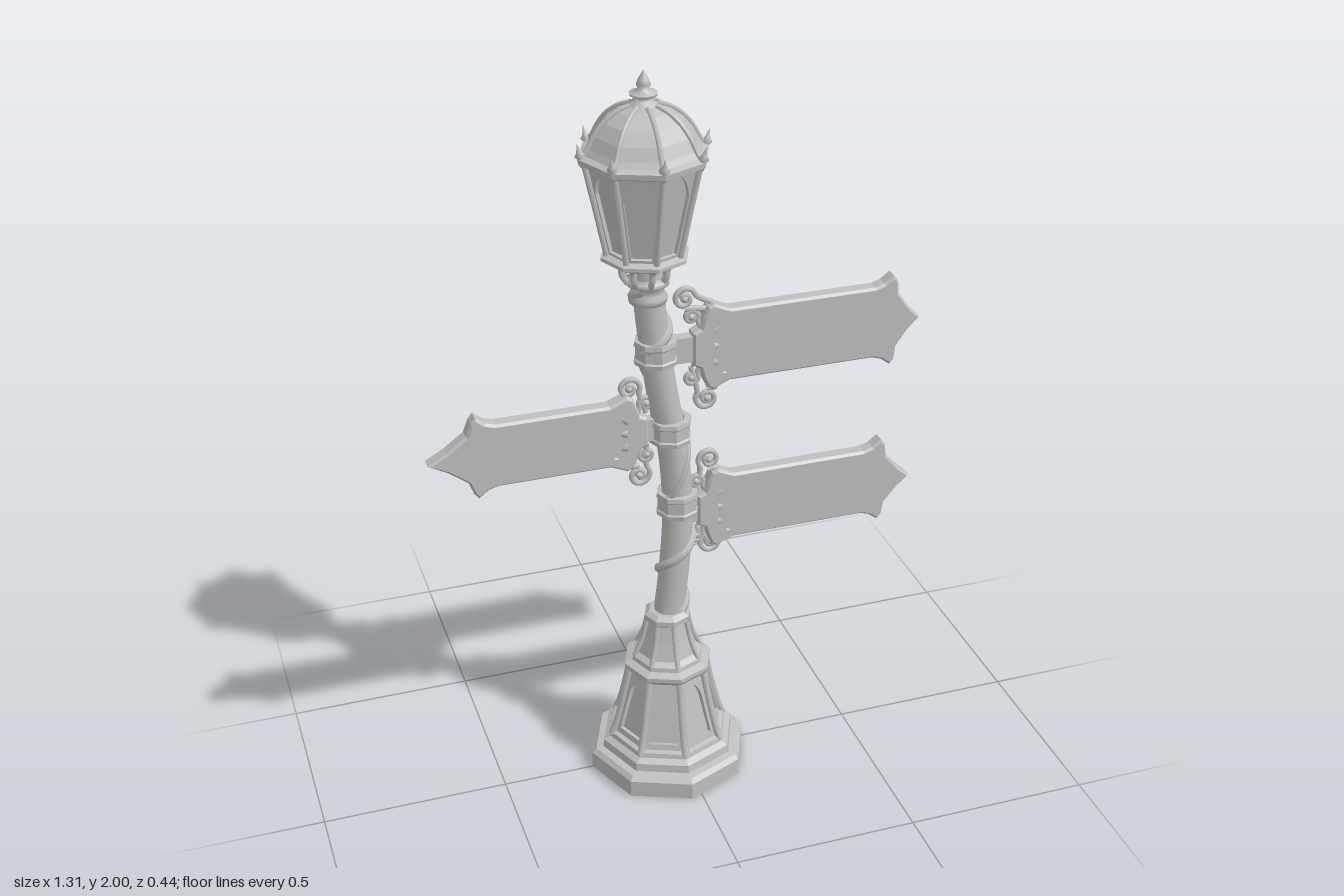
import * as THREE from 'three';

const stone = new THREE.MeshStandardMaterial({ color: 0xbfbfbf, side: THREE.DoubleSide });
stone.name = 'pale grey';

const V = (x, y, z = 0) => new THREE.Vector3(x, y, z);
const add = (parent, name, geo, x = 0, y = 0, z = 0) => {
  const m = new THREE.Mesh(geo, stone);
  m.name = name;
  m.position.set(x, y, z);
  parent.add(m);
  return m;
};
const group = (parent, name, x = 0, y = 0, z = 0) => {
  const g = new THREE.Group();
  g.name = name;
  g.position.set(x, y, z);
  parent.add(g);
  return g;
};
const flat = (geo) => {
  const g = geo.index ? geo.toNonIndexed() : geo;
  g.computeVertexNormals();
  return g;
};
const lathe = (pts, n) => new THREE.LatheGeometry(pts.map(([r, y]) => new THREE.Vector2(r, y)), n);
const octagon = (pts) => flat(lathe(pts, 8));
const tube = (pts, r, seg = 32, sides = 6) =>
  new THREE.TubeGeometry(new THREE.CatmullRomCurve3(pts), seg, r, sides);

// Pointed-arch frames standing on the eight faces of a tapered octagon
function archedFaces(parent, name, r0, y0, r1, y1, margin, depth) {
  const c = Math.cos(Math.PI / 8), s = Math.sin(Math.PI / 8);
  const h = Math.hypot(y1 - y0, (r1 - r0) * c);
  const w0 = r0 * s, w1 = r1 * s;
  const shape = new THREE.Shape();
  shape.moveTo(-w0, 0).lineTo(w0, 0).lineTo(w1, h).lineTo(-w1, h).closePath();
  const b = w0 - margin, t = w0 + (w1 - w0) * 0.7 - margin;
  const hole = new THREE.Path();
  hole.moveTo(-b, margin).lineTo(-t, h * 0.68);
  hole.quadraticCurveTo(-t * 0.8, h * 0.86, 0, h - margin);
  hole.quadraticCurveTo(t * 0.8, h * 0.86, t, h * 0.68);
  hole.lineTo(b, margin).closePath();
  shape.holes.push(hole);
  const geo = new THREE.ExtrudeGeometry(shape, { depth, bevelEnabled: false, curveSegments: 5 });
  geo.translate(0, 0, -depth);
  for (let i = 0; i < 8; i++) {
    const g = group(parent, name);
    g.rotation.y = (i + 0.5) * Math.PI / 4;
    add(g, name, geo, 0, y0, r0 * c).rotation.x = Math.atan2((r1 - r0) * c, y1 - y0);
  }
}

// One tube following a radial profile, repeated at the eight corners
function cornerRibs(parent, name, profile, r) {
  const geo = tube(profile.map(([z, y]) => V(0, y, z)), r, 12);
  for (let i = 0; i < 8; i++) add(parent, name, geo).rotation.y = i * Math.PI / 4;
}

// Scroll of wrought iron: from an anchor into a tightening spiral
function scroll(parent, ax, ay, cx, cy, R, dir) {
  const a0 = Math.atan2(ay - cy, ax - cx) - dir * 0.9;
  const pts = [V(ax, ay)];
  for (let i = 0; i <= 18; i++) {
    const a = a0 + dir * (1.4 + i * 0.5), r = R * (1 - 0.8 * i / 18);
    pts.push(V(cx + r * Math.cos(a), cy + r * Math.sin(a)));
  }
  add(parent, 'scroll', tube(pts, 0.0075, 64));
  add(parent, 'scrollEye', new THREE.SphereGeometry(0.011, 8, 6), cx, cy);
}

// Arrow sign pointing along +x: bevelled frame, sunken panel, scrolls and bracket
function sign(parent, name, o) {
  const { L, h, s } = o;
  const g = group(parent, name, o.dir * o.inner, o.y);
  if (o.dir < 0) g.rotation.y = Math.PI;
  const mirror = (half) => [...half, ...half.slice().reverse().filter((p) => p[1] !== 0).map(([x, y]) => [x, -y])]
    .map(([x, y]) => new THREE.Vector2(x, y));
  const outline = mirror([[0, h * 0.45], [0.02, h * 0.55], [0.028, h * 0.85], [0.04, h + 0.012], [0.055, h + 0.02],
    [0.072, h + 0.012], [0.1, h], [L - s - 0.05, h], [L - s - 0.025, h + 0.008], [L - s, h + 0.027],
    [L - s + 0.012, h + 0.012], [L - s * 0.8, h * 0.75], [L - s * 0.4, h * 0.32], [L, 0]]);
  const inset = mirror([[0.05, h * 0.5], [0.075, h * 0.82], [0.1, h - 0.017], [L - s - 0.03, h - 0.017],
    [L - s - 0.005, h * 0.72], [L - s * 0.55, h * 0.3], [L - 0.03, 0]]);
  const frame = new THREE.Shape(outline);
  frame.holes.push(new THREE.Path(inset));
  const geo = new THREE.ExtrudeGeometry(frame, {
    depth: 0.03, bevelThickness: 0.007, bevelSize: 0.006, bevelOffset: -0.006, bevelSegments: 1 });
  add(g, 'signFrame', geo, 0, 0, -0.015);
  add(g, 'signPanel', new THREE.ExtrudeGeometry(new THREE.Shape(inset), { depth: 0.026, bevelEnabled: false }), 0, 0, -0.013);
  // Leaf boss at the root and studs in the corners
  for (const v of [-0.4, 0, 0.4]) {
    const leaf = add(g, 'leafBoss', new THREE.SphereGeometry(1, 10, 8), 0.045, v * h);
    leaf.scale.set(0.036, 0.016, 0.021);
    leaf.rotation.z = v;
  }
  for (const u of [0.085, L - s - 0.01]) for (const v of [-1, 1])
    add(g, 'stud', new THREE.SphereGeometry(0.014, 8, 6), u, v * (h - 0.015)).scale.z = 1.4;
  add(g, 'bracket', new THREE.BoxGeometry(0.07, h * 0.7, 0.03), -0.015, 0);
  // Large scroll and small curl above and below
  for (const [cx, cy] of [o.top, o.bottom]) {
    const d = Math.sign(cy);
    scroll(g, cx < 0 ? 0.09 : 0.0, d * (cx < 0 ? h : h * 0.55), cx, cy, 0.031, cx < 0 ? d : -d);
    scroll(g, 0.03, d * h * 0.4, 0.0, d * h * 0.85, 0.02, d);
    add(g, 'scrollStay', tube([V(cx, cy - d * 0.028), V(cx + 0.025, cy - d * 0.03), V(0.06, d * h)], 0.008, 10));
  }
}

export function createModel() {
  const model = new THREE.Group();
  model.name = 'lampSignpost';

  // Hollow octagonal pedestal
  const base = group(model, 'pedestal', -0.03);
  add(base, 'plinth', octagon([[0, 0.29], [0.09, 0.29], [0.14, 0.08], [0.185, 0.045], [0.2, 0], [0.22, 0],
    [0.22, 0.048], [0.208, 0.06], [0.188, 0.063], [0.185, 0.085], [0.168, 0.095], [0.165, 0.108], [0.138, 0.115],
    [0.092, 0.3], [0.112, 0.305], [0.122, 0.318], [0.122, 0.33], [0.1, 0.338], [0.098, 0.35], [0.082, 0.36],
    [0.066, 0.41], [0.055, 0.455], [0.064, 0.462], [0.064, 0.478], [0.05, 0.488], [0, 0.49]]));
  archedFaces(base, 'pedestalArch', 0.152, 0.11, 0.106, 0.305, 0.018, 0.014);
  cornerRibs(base, 'pedestalRib', [[0.162, 0.1], [0.147, 0.14], [0.125, 0.23], [0.109, 0.31]], 0.01);
  cornerRibs(base, 'neckRib', [[0.094, 0.35], [0.072, 0.4], [0.058, 0.46]], 0.007);

  // Slightly crooked pole
  const path = new THREE.CatmullRomCurve3([V(-0.028, 0.46), V(-0.012, 0.6), V(-0.001, 0.78), V(-0.012, 0.97),
    V(-0.042, 1.15), V(-0.06, 1.28), V(-0.075, 1.42), V(-0.082, 1.54)]);
  add(model, 'pole', new THREE.TubeGeometry(path, 40, 0.041, 12));

  // Vine winding around the pole
  const vine = (name, t0, t1, turns, phase, r) => {
    const pts = [];
    for (let i = 0; i <= 40; i++) {
      const p = path.getPointAt(t0 + (t1 - t0) * i / 40), a = phase + turns * Math.PI * 2 * i / 40;
      pts.push(V(p.x + 0.04 * Math.sin(a), p.y, p.z + 0.04 * Math.cos(a)));
    }
    add(model, name, tube(pts, r, 100));
  };
  vine('lowerVine', 0.03, 0.36, 1.8, 0.6, 0.013);
  vine('middleVine', 0.36, 0.75, 0.9, 5.6, 0.008);
  vine('upperVine', 0.75, 0.92, 1.1, 5, 0.013);

  // Collars holding the signs
  for (const [x, y] of [[-0.001, 0.82], [-0.021, 1.04], [-0.058, 1.27]])
    add(model, 'collar', octagon([[0.04, -0.034], [0.056, -0.032], [0.058, -0.02], [0.054, -0.016],
      [0.054, 0.016], [0.058, 0.02], [0.056, 0.032], [0.04, 0.034]]), x, y);

  sign(model, 'upperSign', { dir: 1, inner: 0.035, y: 1.263, L: 0.62, h: 0.1, s: 0.078, top: [-0.018, 0.137], bottom: [0.042, -0.15] });
  sign(model, 'lowerSign', { dir: 1, inner: 0.05, y: 0.787, L: 0.605, h: 0.097, s: 0.088, top: [0.035, 0.143], bottom: [0.042, -0.11] });
  sign(model, 'leftSign', { dir: -1, inner: 0.085, y: 1.05, L: 0.57, h: 0.088, s: 0.125, top: [0.045, 0.122], bottom: [0.02, -0.133] });

  // Lantern on a bracketed neck
  const lamp = group(model, 'lantern', -0.084);
  add(lamp, 'neckRing', lathe([[0.035, 1.405], [0.048, 1.41], [0.05, 1.425], [0.042, 1.435], [0.042, 1.452],
    [0.054, 1.458], [0.054, 1.472], [0.036, 1.48], [0.034, 1.54]], 16), 0.006);
  cornerRibs(lamp, 'neckBracket', [[0.045, 1.465], [0.058, 1.485], [0.062, 1.51], [0.085, 1.532]], 0.009);
  add(lamp, 'lanternFloor', octagon([[0, 1.525], [0.1, 1.525], [0.112, 1.532], [0.112, 1.541], [0.092, 1.55], [0, 1.55]]));
  add(lamp, 'glass', octagon([[0.084, 1.545], [0.132, 1.79]]));
  archedFaces(lamp, 'lanternArch', 0.094, 1.545, 0.144, 1.788, 0.011, 0.01);
  cornerRibs(lamp, 'lanternPost', [[0.096, 1.545], [0.12, 1.66], [0.147, 1.785]], 0.0085);
  add(lamp, 'roof', octagon([[0, 1.775], [0.14, 1.775], [0.162, 1.785], [0.164, 1.799], [0.148, 1.806], [0.138, 1.82],
    [0.122, 1.85], [0.098, 1.88], [0.066, 1.903], [0.036, 1.915], [0, 1.917]]));
  cornerRibs(lamp, 'roofRib', [[0.15, 1.805], [0.138, 1.822], [0.122, 1.852], [0.098, 1.882], [0.066, 1.905], [0.034, 1.917]], 0.0065);

  // Eave pinnacles
  for (let i = 0; i < 8; i++) {
    const g = group(lamp, 'pinnacle');
    g.rotation.y = i * Math.PI / 4;
    add(g, 'pinnacleSpike', lathe([[0, -0.028], [0.008, -0.02], [0.008, 0], [0.014, 0.008], [0.007, 0.016], [0, 0.04]], 8),
      0, 1.8, 0.155).rotation.x = 0.25;
  }

  // Top finial
  add(lamp, 'finial', lathe([[0.036, 1.908], [0.034, 1.918], [0.016, 1.926], [0.014, 1.934], [0.034, 1.94],
    [0.034, 1.946], [0.012, 1.952], [0.018, 1.965], [0.013, 1.978], [0, 2]], 12));
  return model;
}
